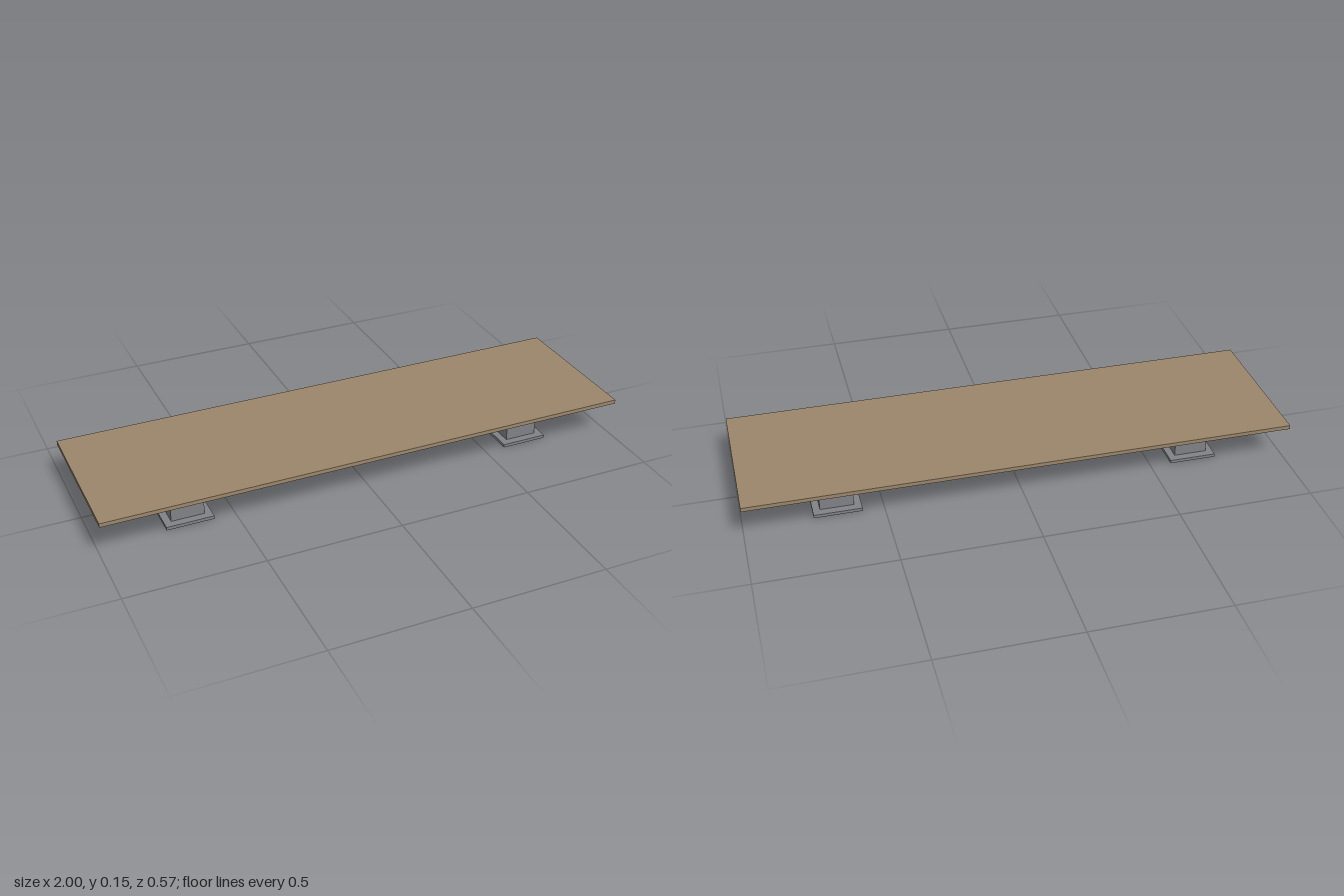
import * as THREE from 'three';

export function createModel() {
  const model = new THREE.Group();
  model.name = 'lowTable';

  const wood = new THREE.MeshStandardMaterial({ color: 0x9b866b });
  wood.name = 'wood';
  const metal = new THREE.MeshStandardMaterial({ color: 0x808286 });
  metal.name = 'greyMetal';

  // Box centred on z, spanning y0 to y1
  function slab(parent, name, material, width, depth, y0, y1) {
    const mesh = new THREE.Mesh(new THREE.BoxGeometry(width, y1 - y0, depth), material);
    mesh.position.y = (y0 + y1) / 2;
    mesh.name = name;
    parent.add(mesh);
  }

  // Top board, with a smaller panel just below it
  slab(model, 'tableTop', wood, 2, 0.569, 0.139, 0.154);
  slab(model, 'underPanel', wood, 1.844, 0.47, 0.1245, 0.136);

  // Two block legs on wider foot plates
  for (const side of [1, -1]) {
    const leg = new THREE.Group();
    leg.name = side > 0 ? 'leftLeg' : 'rightLeg';
    leg.position.x = side * 0.665;
    slab(leg, 'legBlock', metal, 0.122, 0.335, 0.012, 0.1245);
    slab(leg, 'footPlate', metal, 0.174, 0.393, 0, 0.012);
    model.add(leg);
  }

  return model;
}
